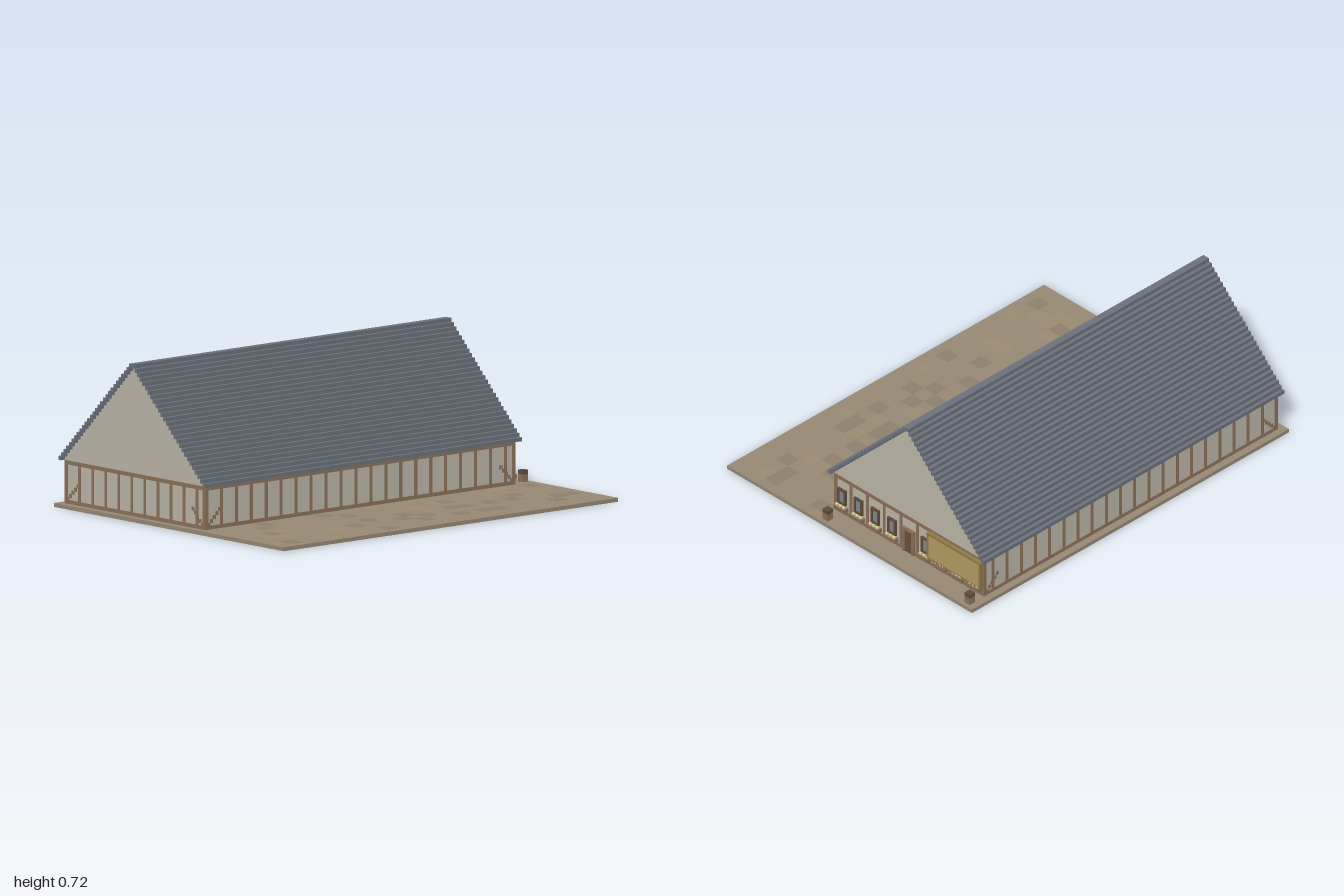
import * as THREE from 'three';

const mat = (color) => new THREE.MeshStandardMaterial({ color, flatShading: true });
const M = {
  slab: mat(0x968874), patchA: mat(0x8d806c), patchB: mat(0x9a8a73), wall: mat(0xbab5a7),
  beam: mat(0x8a7059), roof: mat(0x6b717b), frame: mat(0x5f4c3c), glass: mat(0x7d8890),
  board: mat(0xb39a62), trim: mat(0x8f7a48), flower: mat(0xd8cf9a), door: mat(0x6a4f3a),
};

// Main dimensions: S is the block size, CX the ridge position
const S = 0.0179, CX = -0.27, GROUND = 0.018, EAVE = 0.215, ROWS = 28;
const X0 = -0.75, X1 = 0.21, ZB = -0.89, ZF = 0.965;
const MIDZ = (ZB + ZF) / 2, INSET = 0.003;

// Box given by its minimum and maximum corners
function box(parent, name, material, x0, x1, y0, y1, z0, z1) {
  const mesh = new THREE.Mesh(new THREE.BoxGeometry(x1 - x0, y1 - y0, z1 - z0), material);
  mesh.position.set((x0 + x1) / 2, (y0 + y1) / 2, (z0 + z1) / 2);
  mesh.name = name;
  parent.add(mesh);
  return mesh;
}

function group(parent, name) {
  const g = new THREE.Group();
  g.name = name;
  parent.add(g);
  return g;
}

function buildGround(model) {
  const g = group(model, 'ground');
  box(g, 'groundSlab', M.slab, -0.785, 0.785, 0, GROUND, -1, 1);
  // Slightly darker and lighter earth patches on the open yard
  let seed = 7;
  const rnd = () => (seed = (seed * 16807) % 2147483647) / 2147483647;
  const cell = S * 4;
  for (let i = 0; i < 7; i++) {
    for (let j = 0; j < 26; j++) {
      const r = rnd();
      if (r > 0.3) continue;
      const x = 0.235 + i * cell, z = -0.95 + j * cell;
      box(g, 'earthPatch', r < 0.18 ? M.patchA : M.patchB,
        x, x + cell, GROUND - 0.002, GROUND + 0.0006, z, z + cell);
    }
  }
}

function buildRoof(model) {
  const g = group(model, 'roof');
  // Stepped attic filling both gables
  const shape = new THREE.Shape();
  const half = (i) => (ROWS - 1 - i) * S;
  shape.moveTo(-half(0), EAVE);
  for (let i = 0; i < ROWS - 1; i++) {
    shape.lineTo(-half(i), EAVE + (i + 1) * S);
    if (i < ROWS - 2) shape.lineTo(-half(i + 1), EAVE + (i + 1) * S);
  }
  for (let i = ROWS - 2; i >= 0; i--) {
    shape.lineTo(half(i), EAVE + (i + 1) * S);
    shape.lineTo(half(i), EAVE + i * S);
  }
  const attic = new THREE.Mesh(
    new THREE.ExtrudeGeometry(shape, { depth: ZF - ZB - INSET * 2, bevelEnabled: false }), M.wall);
  attic.position.set(CX, 0, ZB + INSET);
  attic.name = 'gableWalls';
  g.add(attic);
  // Rows of stepped roofing, mirrored about the ridge
  for (let i = 0; i < ROWS; i++) {
    for (const side of [-1, 1]) {
      const x = CX + side * (ROWS - i - 0.5) * S, y = EAVE + i * S;
      box(g, 'roofRow', M.roof, x - S / 2, x + S / 2, y, y + S, -0.91, 0.985);
    }
  }
}

function buildWalls(model) {
  const g = group(model, 'timberWalls');
  box(g, 'wallInfill', M.wall, X0 + INSET, X1 - INSET, GROUND, EAVE, ZB + INSET, ZF - INSET);
  // Sill and top beams on all four sides
  for (const [y0, y1] of [[GROUND, GROUND + 0.017], [EAVE - S, EAVE]]) {
    for (const z of [ZB, ZF - S]) box(g, 'crossBeam', M.beam, X0, X1, y0, y1, z, z + S);
    for (const x of [X0, X1 - S]) box(g, 'sideBeam', M.beam, x, x + S, y0, y1, ZB + S, ZF - S);
  }
  // Posts
  const postX = (x, z, w = 0.016) =>
    box(g, 'post', M.beam, x - w / 2, x + w / 2, GROUND, EAVE - 0.001, z, z + S);
  const postZ = (x, z, w = 0.016) =>
    box(g, 'post', M.beam, x, x + S, GROUND, EAVE - 0.001, z - w / 2, z + w / 2);
  for (const x of [X0 + S / 2, X1 - S / 2]) {
    for (const z of [ZB, ZF - S]) postX(x, z, S);
  }
  for (let i = 0; i < 10; i++) postX(-0.65 + i * 0.089, ZF - S);
  for (let i = 0; i < 20; i++) {
    for (const x of [X0, X1 - S]) postZ(x, 0.868 - i * 0.0894);
  }
  for (let k = 0; k < 4; k++) {
    for (const side of [-1, 1]) postX(CX + side * 0.107 * (k + 0.5), ZB);
  }
  // Stepped corner braces on the front and the long sides
  const n = 5;
  for (let i = 0; i < n; i++) {
    const y = GROUND + 0.012 + i * 0.0165, d = S * 0.7 + i * S * 0.92;
    for (const x of [X0 + d, X1 - d - S]) {
      box(g, 'cornerBrace', M.beam, x, x + S, y, y + S, ZF - S, ZF - 0.0005);
    }
    for (const z of [ZB + d, ZF - d - S]) {
      for (const x of [X0 + 0.0005, X1 - S - 0.0005]) {
        box(g, 'cornerBrace', M.beam, x, x + S, y, y + S, z, z + S);
      }
    }
  }
}

function buildWindow(model, x) {
  const g = group(model, 'window');
  const z = ZB - 0.008, w = 0.026;
  box(g, 'windowGlass', M.glass, x - w + 0.008, x + w - 0.008, 0.08, 0.145, ZB - 0.002, ZB + 0.01);
  for (const side of [-1, 1]) {
    const px = x + side * (w - 0.005);
    box(g, 'windowJamb', M.frame, px - 0.005, px + 0.005, 0.07, 0.15, z, ZB + 0.01);
  }
  box(g, 'windowHead', M.frame, x - w, x + w, 0.142, 0.152, z, ZB + 0.01);
  box(g, 'windowSill', M.frame, x - w, x + w, 0.07, 0.08, z, ZB + 0.01);
  // Planter below the window
  box(g, 'planter', M.beam, x - 0.036, x + 0.036, 0.04, 0.06, ZB - S * 1.3, ZB + 0.01);
  for (let i = -1; i <= 1; i++) {
    box(g, 'planting', M.flower, x + i * 0.022 - 0.007, x + i * 0.022 + 0.007,
      0.06, 0.069, ZB - S, ZB - 0.004);
  }
}

function buildBackFittings(model) {
  for (let k = 1; k <= 4; k++) {
    for (const side of [-1, 1]) buildWindow(model, CX + side * 0.107 * k);
  }
  // Entrance in the middle of the back
  const d = group(model, 'entrance');
  box(d, 'door', M.door, CX - 0.026, CX + 0.026, GROUND, 0.135, ZB - 0.003, ZB + 0.01);
  for (const side of [-1, 1]) {
    const x = CX + side * 0.03;
    box(d, 'doorPost', M.beam, x - 0.007, x + 0.007, GROUND, 0.145, ZB - 0.009, ZB + 0.01);
  }
  box(d, 'doorHead', M.beam, CX - 0.037, CX + 0.037, 0.135, 0.149, ZB - 0.009, ZB + 0.01);
  // Blank framed board hung on the back wall
  const b = group(model, 'signBoard');
  const x0 = -0.745, x1 = -0.4, y0 = 0.06, y1 = 0.205, t = 0.012;
  box(b, 'boardPanel', M.board, x0 + t, x1 - t, y0 + t, y1 - t, ZB - 0.016, ZB);
  for (const y of [y0, y1 - t]) box(b, 'boardRail', M.trim, x0, x1, y, y + t, ZB - S, ZB);
  for (const x of [x0, x1 - t]) box(b, 'boardStile', M.trim, x, x + t, y0 + t, y1 - t, ZB - S, ZB);
  // Short stacked posts at the edge of the slab
  for (const x of [-0.735, 0.175]) {
    const p = group(model, 'bollard');
    const h = 0.0165;
    box(p, 'bollardBase', M.beam, x - h, x + h, GROUND, 0.053, -0.965 - h, -0.965 + h);
    box(p, 'bollardCap', M.frame, x - h, x + h, 0.053, 0.072, -0.965 - h, -0.965 + h);
  }
}

export function createModel() {
  const model = new THREE.Group();
  model.name = 'timberHall';
  buildGround(model);
  buildWalls(model);
  buildRoof(model);
  buildBackFittings(model);
  return model;
}
